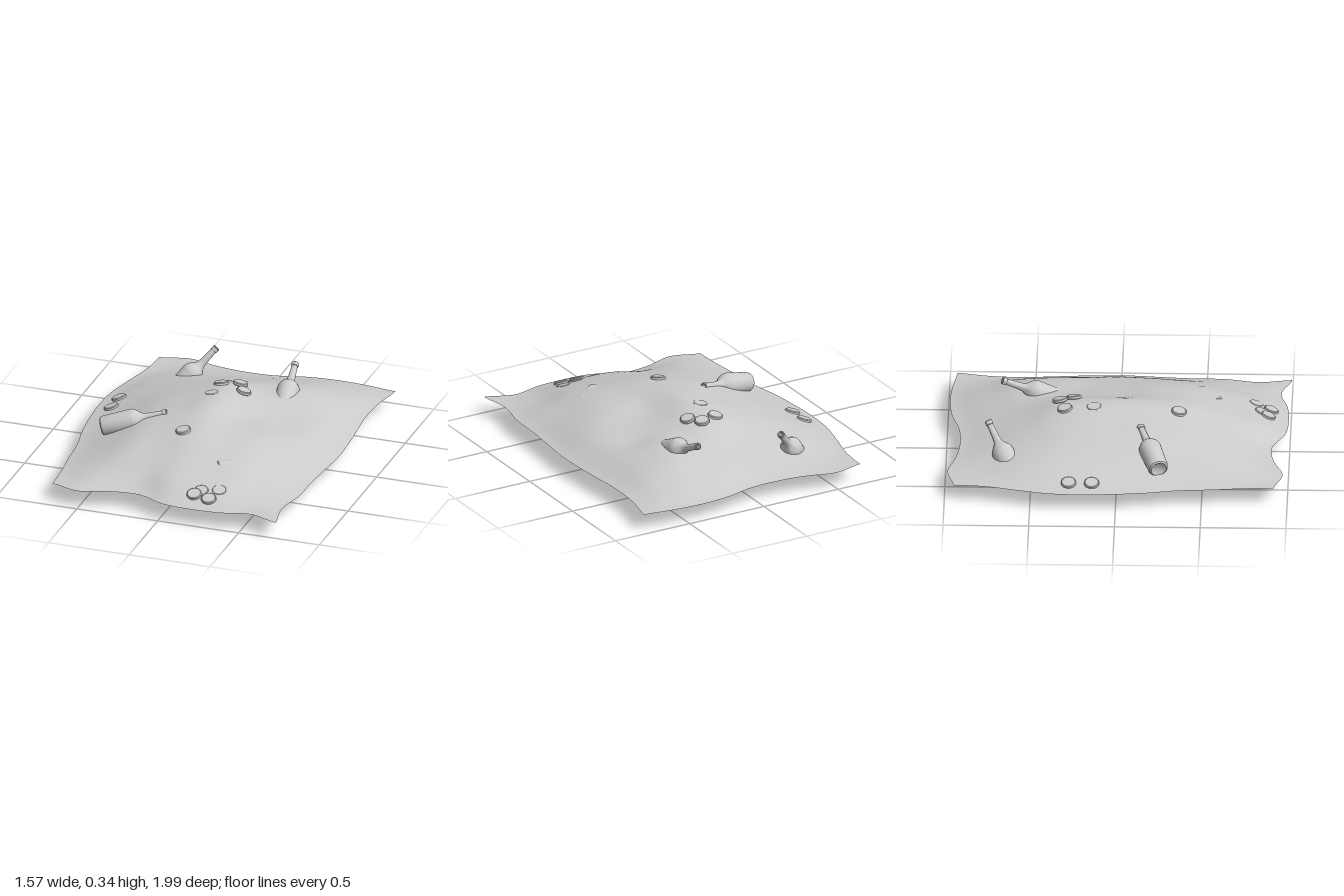
import * as THREE from 'three';
import { toCreasedNormals } from 'three/addons/utils/BufferGeometryUtils.js';

const grey = new THREE.MeshStandardMaterial({ color: 0xcccccc, side: THREE.DoubleSide });
const lerp = THREE.MathUtils.lerp;
const clamp = THREE.MathUtils.clamp;
const up = new THREE.Vector3(0, 1, 0);

// Smooth curve through evenly spaced values, t from 0 to 1
function spline(values, t) {
  const last = values.length - 1;
  const s = clamp(t, 0, 1) * last;
  const i = Math.min(Math.floor(s), last - 1);
  const f = s - i;
  const at = (k) => values[clamp(k, 0, last)];
  const [a, b, c, d] = [at(i - 1), at(i), at(i + 1), at(i + 2)];
  return b + 0.5 * f * (c - a + f * (2 * a - 5 * b + 4 * c - d + f * (3 * (b - c) + d - a)));
}

// Wavy outline of the sheet: x of the side edges, z of the end edges
const rightEdge = [-0.68, -0.695, -0.74, -0.78, -0.79, -0.78, -0.76, -0.725, -0.71, -0.69, -0.68];
const leftEdge = [0.78, 0.745, 0.735, 0.75, 0.765, 0.77, 0.755, 0.74, 0.735, 0.70, 0.73];
const backEdge = [-0.945, -0.985, -0.94, -0.92, -0.93, -0.975, -0.99, -0.98, -0.955];
const frontEdge = [0.92, 0.97, 0.915, 0.9, 0.975, 0.99, 0.98, 0.94, 1.0];

// Mound heights inside the flat rim, rows from back to front
const RIM = 0.12;
const mound = [
  [0.135, 0.16, 0.17, 0.18, 0.18, 0.18, 0.155],
  [0.165, 0.205, 0.23, 0.245, 0.24, 0.24, 0.195],
  [0.18, 0.235, 0.28, 0.315, 0.275, 0.255, 0.205],
  [0.18, 0.25, 0.305, 0.34, 0.285, 0.235, 0.2],
  [0.18, 0.26, 0.31, 0.345, 0.28, 0.245, 0.205],
  [0.18, 0.265, 0.31, 0.33, 0.295, 0.265, 0.205],
  [0.18, 0.255, 0.29, 0.305, 0.285, 0.26, 0.195],
  [0.17, 0.23, 0.25, 0.255, 0.245, 0.23, 0.18],
  [0.15, 0.18, 0.195, 0.2, 0.19, 0.18, 0.15],
].map((row) => [RIM, ...row, RIM]);
const flatRow = new Array(9).fill(RIM);
const heights = [flatRow, ...mound, flatRow];

function surfacePoint(u, v) {
  return new THREE.Vector3(
    lerp(spline(rightEdge, v), spline(leftEdge, v), u),
    Math.max(RIM, spline(heights.map((row) => spline(row, u)), v)),
    lerp(spline(backEdge, u), spline(frontEdge, u), v)
  );
}

// Point on the mound above a given x and z
function groundAt(x, z) {
  let u = 0.5, v = 0.5, p;
  for (let i = 0; i < 6; i++) {
    p = surfacePoint(u, v);
    u = clamp(u + (x - p.x) / 1.5, 0, 1);
    v = clamp(v + (z - p.z) / 1.93, 0, 1);
  }
  return surfacePoint(u, v);
}

function makeMound() {
  const geometry = new THREE.PlaneGeometry(1, 1, 56, 72).rotateX(-Math.PI / 2);
  const pos = geometry.attributes.position;
  for (let i = 0; i < pos.count; i++) {
    const p = surfacePoint(pos.getX(i) + 0.5, pos.getZ(i) + 0.5);
    pos.setXYZ(i, p.x, p.y, p.z);
  }
  geometry.computeVertexNormals();
  const mesh = new THREE.Mesh(geometry, grey);
  mesh.name = 'sandMound';
  return mesh;
}

// Bottle with an open mouth, standing on its base
function makeBottleGeometry() {
  const profile = [
    [0, 0.012], [0.035, 0.008], [0.046, 0], [0.055, 0.006], [0.06, 0.022], [0.062, 0.1],
    [0.066, 0.185], [0.064, 0.2], [0.054, 0.22], [0.036, 0.24], [0.025, 0.258],
    [0.021, 0.29], [0.018, 0.368], [0.021, 0.37], [0.022, 0.392], [0.019, 0.396],
    [0.013, 0.396], [0.013, 0.33], [0, 0.33],
  ].map(([r, y]) => new THREE.Vector2(r, y));
  return toCreasedNormals(new THREE.LatheGeometry(profile, 28), 0.6);
}

// Round cap with a slightly flared rim
function makeCapGeometry() {
  const profile = [[0, -0.009], [0.042, -0.009], [0.045, -0.005], [0.043, 0.006], [0.038, 0.01], [0, 0.01]]
    .map(([r, y]) => new THREE.Vector2(r, y));
  return toCreasedNormals(new THREE.LatheGeometry(profile, 24), 0.6);
}

export function createModel() {
  const model = new THREE.Group();
  model.name = 'litteredMound';
  model.add(makeMound());

  // Half-buried bottles: centre of the base, then the mouth
  const bottleGeometry = makeBottleGeometry();
  const bottles = [
    [[-0.485, 0.055, -0.585], [-0.26, 0.325, -0.75]],
    [[0.3, 0.185, -0.32], [0.258, 0.335, -0.675]],
    [[-0.615, 0.205, 0.25], [-0.25, 0.3, 0.135]],
    [[0.215, 0.198, 0.58], [0.53, 0.175, 0.355]],
  ];
  bottles.forEach(([base, mouth], i) => {
    const bottle = new THREE.Mesh(bottleGeometry, grey);
    bottle.name = `bottle${i + 1}`;
    bottle.position.set(...base);
    const axis = new THREE.Vector3(...mouth).sub(bottle.position).normalize();
    bottle.quaternion.setFromUnitVectors(up, axis);
    model.add(bottle);
  });

  // Caps lying along the slope: x, z and lift above the surface
  const capGeometry = makeCapGeometry();
  const caps = [
    [-0.69, -0.275, 0.003], [-0.69, -0.14, 0.003],
    [-0.07, -0.31, 0.003], [0.035, -0.34, 0.012], [0.085, -0.26, 0.008], [-0.07, -0.14, -0.008],
    [-0.07, 0.355, 0.004],
    [0.21, 0.835, -0.003], [0.18, 0.87, 0.003], [0.275, 0.885, 0.003], [0.31, 0.8, -0.008],
  ];
  caps.forEach(([x, z, lift], i) => {
    const cap = new THREE.Mesh(capGeometry, grey);
    cap.name = `cap${i + 1}`;
    const p = groundAt(x, z);
    const e = 0.03;
    const normal = new THREE.Vector3(
      groundAt(x - e, z).y - groundAt(x + e, z).y, 2 * e,
      groundAt(x, z - e).y - groundAt(x, z + e).y
    ).normalize();
    cap.position.copy(p).addScaledVector(normal, lift);
    cap.quaternion.setFromUnitVectors(up, normal);
    model.add(cap);
  });

  return model;
}
